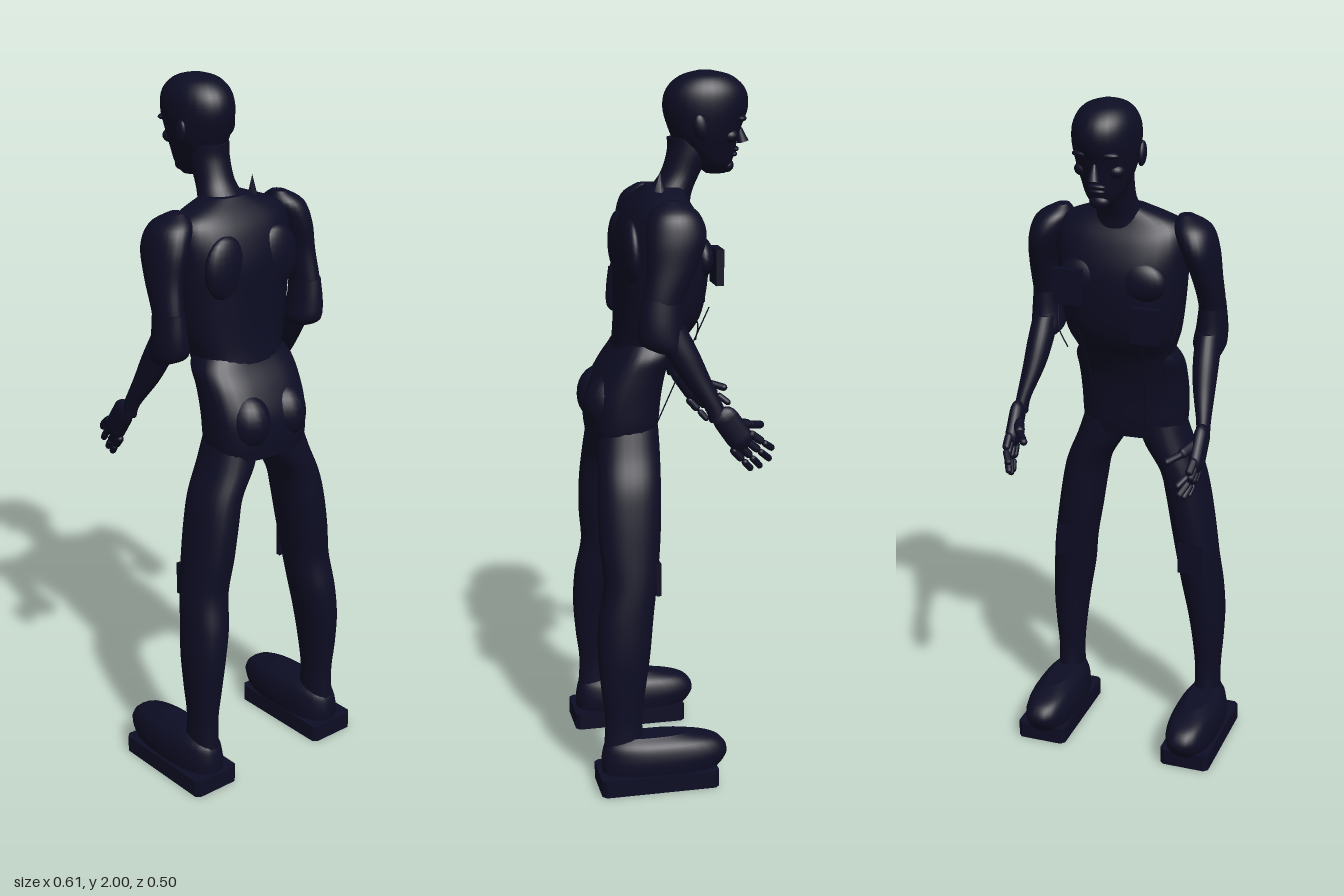
import * as THREE from 'three';

const dark = new THREE.MeshStandardMaterial({ color: 0x0d0d24 });
dark.name = 'midnight navy';

function add(parent, name, geometry) {
  const mesh = new THREE.Mesh(geometry, dark);
  mesh.name = name;
  parent.add(mesh);
  return mesh;
}

// Smooth body from level sections, bottom to top: [y, centre x, half width, z front, z back]
function loft(rows, power = 1, sides = 28, steps = 5) {
  const spline = (k, t) => {
    const n = rows.length - 1, i = Math.min(Math.floor(t), n - 1), u = t - i;
    const p = (j) => rows[Math.max(0, Math.min(n, j))][k];
    const [a, b, c, d] = [p(i - 1), p(i), p(i + 1), p(i + 2)];
    return b + 0.5 * u * (c - a + u * (2 * a - 5 * b + 4 * c - d + u * (3 * (b - c) + d - a)));
  };
  const rings = [];
  const total = (rows.length - 1) * steps;
  for (let i = 0; i <= total; i++) rings.push([0, 1, 2, 3, 4].map((k) => spline(k, i / steps)));
  const shrink = ([y, x, , f, b]) => [y, x, 0, (f + b) / 2, (f + b) / 2];
  rings.unshift(shrink(rings[0]), rings[0]);
  rings.push(rings[rings.length - 1], shrink(rings[rings.length - 1]));
  const pos = [], index = [];
  const bend = (v) => Math.sign(v) * Math.abs(v) ** power;
  rings.forEach(([y, x, w, f, b], i) => {
    for (let j = 0; j < sides; j++) {
      const t = (j / sides) * Math.PI * 2;
      pos.push(x + w * bend(Math.cos(t)), y, (f + b) / 2 + ((b - f) / 2) * bend(Math.sin(t)));
      if (i === rings.length - 1) continue;
      const a = i * sides + j, n = i * sides + ((j + 1) % sides);
      index.push(a, a + sides, n, a + sides, n + sides, n);
    }
  });
  const g = new THREE.BufferGeometry();
  g.setAttribute('position', new THREE.Float32BufferAttribute(pos, 3));
  g.setIndex(index);
  g.computeVertexNormals();
  return g;
}

// Rounded rod between two points
function bone(parent, name, a, b, r, flat = 1) {
  const p = new THREE.Vector3(...a), q = new THREE.Vector3(...b);
  const dir = q.clone().sub(p);
  const mesh = add(parent, name, new THREE.CapsuleGeometry(r, Math.max(dir.length() - 2 * r, 0.001), 5, 10));
  mesh.position.copy(p).add(q).multiplyScalar(0.5);
  mesh.quaternion.setFromUnitVectors(new THREE.Vector3(0, 1, 0), dir.normalize());
  mesh.scale.x = flat;
  return mesh;
}

function ball(parent, name, [x, y, z], [rx, ry, rz]) {
  const mesh = add(parent, name, new THREE.SphereGeometry(1, 20, 14));
  mesh.position.set(x, y, z);
  mesh.scale.set(rx, ry, rz);
  return mesh;
}

function box(parent, name, [x, y, z], [w, h, d]) {
  const mesh = add(parent, name, new THREE.BoxGeometry(w, h, d));
  mesh.position.set(x, y, z);
  return mesh;
}

function wire(parent, name, points) {
  const curve = new THREE.CatmullRomCurve3(points.map((p) => new THREE.Vector3(...p)));
  return add(parent, name, new THREE.TubeGeometry(curve, 12, 0.002, 5));
}

function buildHead() {
  const head = new THREE.Group();
  head.name = 'head';
  add(head, 'skull', loft([
    [1.72, 0, 0.022, -0.165, -0.11], [1.75, 0, 0.048, -0.182, -0.07], [1.79, 0, 0.066, -0.192, -0.03],
    [1.84, 0, 0.082, -0.205, -0.005], [1.9, 0, 0.09, -0.226, 0.012], [1.95, 0, 0.084, -0.218, 0.002],
    [1.985, 0, 0.058, -0.18, -0.035], [2.0, 0, 0.015, -0.125, -0.085],
  ]));
  // Face
  const nose = add(head, 'nose', new THREE.ConeGeometry(0.017, 0.065, 12));
  nose.position.set(0, 1.835, -0.206);
  nose.rotation.x = 0.25;
  ball(head, 'upperLip', [0, 1.785, -0.19], [0.025, 0.008, 0.012]);
  ball(head, 'lowerLip', [0, 1.771, -0.186], [0.022, 0.008, 0.012]);
  ball(head, 'chin', [0, 1.74, -0.168], [0.028, 0.02, 0.02]);
  for (const s of [1, -1]) {
    ball(head, 'brow', [s * 0.035, 1.872, -0.196], [0.03, 0.01, 0.018]);
    ball(head, 'cheek', [s * 0.045, 1.825, -0.165], [0.025, 0.02, 0.025]);
    ball(head, 'ear', [s * 0.086, 1.855, -0.075], [0.012, 0.034, 0.02]).rotation.x = 0.2;
  }
  add(head, 'neck', loft([
    [1.62, 0, 0.09, -0.06, 0.09], [1.67, 0, 0.068, -0.068, 0.06], [1.72, 0, 0.055, -0.09, 0.02],
    [1.78, 0, 0.056, -0.12, 0.0], [1.82, 0, 0.055, -0.12, 0.0],
  ]));
  return head;
}

function buildTorso() {
  const torso = new THREE.Group();
  torso.name = 'torso';
  add(torso, 'chest', loft([
    [1.2, 0, 0.132, -0.015, 0.165], [1.26, 0, 0.138, -0.04, 0.155], [1.33, 0, 0.162, -0.085, 0.15],
    [1.42, 0, 0.176, -0.105, 0.15], [1.52, 0, 0.184, -0.108, 0.15], [1.6, 0, 0.19, -0.085, 0.13],
    [1.65, 0, 0.17, -0.055, 0.1], [1.69, 0, 0.07, -0.04, 0.06],
  ], 0.85));
  add(torso, 'pelvis', loft([
    [0.99, 0, 0.148, 0.045, 0.232], [1.04, 0, 0.154, 0.035, 0.238], [1.11, 0, 0.156, 0.028, 0.232],
    [1.18, 0, 0.157, 0.015, 0.2], [1.23, 0, 0.156, -0.005, 0.165], [1.265, 0, 0.138, -0.02, 0.145],
  ], 0.75));
  for (const s of [1, -1]) {
    ball(torso, 'buttock', [s * 0.065, 1.09, 0.175], [0.068, 0.085, 0.075]);
    ball(torso, 'pectoral', [s * 0.08, 1.5, -0.075], [0.075, 0.06, 0.035]);
    ball(torso, 'shoulderBlade', [s * 0.09, 1.52, 0.12], [0.07, 0.09, 0.03]);
    // Chest packs hang at different heights
    box(torso, 'chestPack', [s * 0.112, s > 0 ? 1.48 : 1.39, -0.116], [0.08, 0.1, 0.022]);
    wire(torso, 'sideStrap', [[s * 0.178, 1.4, -0.02], [s * 0.165, 1.33, -0.05], [s * 0.14, 1.28, -0.05]]);
    wire(torso, 'frontStrap', [[s * 0.09, 1.36, -0.1], [s * 0.08, 1.2, -0.03], [s * 0.06, 1.03, 0.04]]);
  }
  const collar = add(torso, 'collarTip', new THREE.ConeGeometry(0.022, 0.07, 4));
  collar.position.set(0.075, 1.7, 0.035);
  return torso;
}

function buildArm(s) {
  const arm = new THREE.Group();
  arm.name = s > 0 ? 'leftArm' : 'rightArm';
  add(arm, 'upperArm', loft([
    [1.3, s * 0.243, 0.036, 0.02, 0.125], [1.4, s * 0.246, 0.036, 0.015, 0.12], [1.5, s * 0.238, 0.04, -0.03, 0.105],
    [1.58, s * 0.222, 0.05, -0.06, 0.105], [1.64, s * 0.2, 0.052, -0.045, 0.09], [1.672, s * 0.18, 0.02, 0.0, 0.05],
  ]));
  add(arm, 'sleeveCuff', loft([
    [1.275, s * 0.248, 0.032, 0.0, 0.08], [1.3, s * 0.242, 0.046, 0.0, 0.125], [1.35, s * 0.245, 0.043, 0.01, 0.13],
    [1.42, s * 0.246, 0.035, 0.012, 0.122],
  ]));
  add(arm, 'forearm', loft([
    [1.08, s * 0.271, 0.019, -0.115, -0.06], [1.12, s * 0.268, 0.02, -0.1, -0.045], [1.2, s * 0.254, 0.031, -0.065, 0.015],
    [1.27, s * 0.247, 0.036, -0.035, 0.06], [1.34, s * 0.243, 0.035, 0.0, 0.105],
  ]));
  // Hand
  bone(arm, 'palm', [s * 0.274, 1.115, -0.085], [s * 0.272, 1.0, -0.165], 0.038, 0.55);
  const tips = [[0.243, 0.985, -0.248], [0.247, 0.955, -0.24], [0.253, 0.937, -0.212], [0.26, 0.933, -0.184]];
  tips.forEach(([x, y, z], i) => {
    const root = [s * 0.273, 1.045 - i * 0.014, -0.17 + i * 0.016];
    const mid = [s * 0.268, root[1] * 0.45 + y * 0.55, root[2] * 0.45 + z * 0.55];
    bone(arm, 'finger', root, mid, 0.0115);
    bone(arm, 'fingertip', mid, [s * x, y, z], 0.0095);
  });
  bone(arm, 'thumb', [s * 0.268, 1.075, -0.115], [s * 0.235, 1.055, -0.185], 0.015);
  bone(arm, 'thumbTip', [s * 0.24, 1.057, -0.175], [s * 0.204, 1.045, -0.228], 0.011);
  return arm;
}

function buildLeg(s) {
  const leg = new THREE.Group();
  leg.name = s > 0 ? 'leftLeg' : 'rightLeg';
  add(leg, 'leg', loft([
    [0.08, s * 0.224, 0.04, 0.11, 0.235], [0.2, s * 0.223, 0.037, 0.122, 0.227], [0.3, s * 0.222, 0.044, 0.11, 0.238],
    [0.4, s * 0.217, 0.053, 0.096, 0.245], [0.5, s * 0.205, 0.06, 0.085, 0.24], [0.6, s * 0.193, 0.062, 0.072, 0.222],
    [0.7, s * 0.178, 0.063, 0.06, 0.23], [0.8, s * 0.162, 0.063, 0.053, 0.231], [0.88, s * 0.144, 0.063, 0.05, 0.226],
    [0.96, s * 0.104, 0.07, 0.045, 0.222], [1.03, s * 0.08, 0.07, 0.045, 0.215],
  ], 0.9));
  box(leg, 'kneePlate', [s * 0.19, 0.615, 0.071], [0.07, 0.095, 0.014]);

  // Shoe on a flat sole with clipped corners
  add(leg, 'shoe', loft([
    [0.03, s * 0.225, 0.066, -0.085, 0.235], [0.06, s * 0.225, 0.071, -0.115, 0.24], [0.095, s * 0.225, 0.071, -0.126, 0.238],
    [0.13, s * 0.225, 0.06, -0.095, 0.228], [0.152, s * 0.225, 0.035, -0.01, 0.2],
  ], 0.8));
  const w = 0.075, l = 0.17, c = 0.012;
  const outline = [[-w, c - l], [c - w, -l], [w - c, -l], [w, c - l], [w, l - c], [w - c, l], [c - w, l], [-w, l - c]];
  const sole = add(leg, 'sole', new THREE.ExtrudeGeometry(
    new THREE.Shape(outline.map(([x, y]) => new THREE.Vector2(x, y))), { depth: 0.05, bevelEnabled: false }));
  sole.rotation.x = -Math.PI / 2;
  sole.position.set(s * 0.229, 0, 0.08);
  return leg;
}

export function createModel() {
  const figure = new THREE.Group();
  figure.name = 'standingFigure';
  figure.add(buildHead(), buildTorso());
  for (const s of [1, -1]) figure.add(buildArm(s), buildLeg(s));
  return figure;
}
